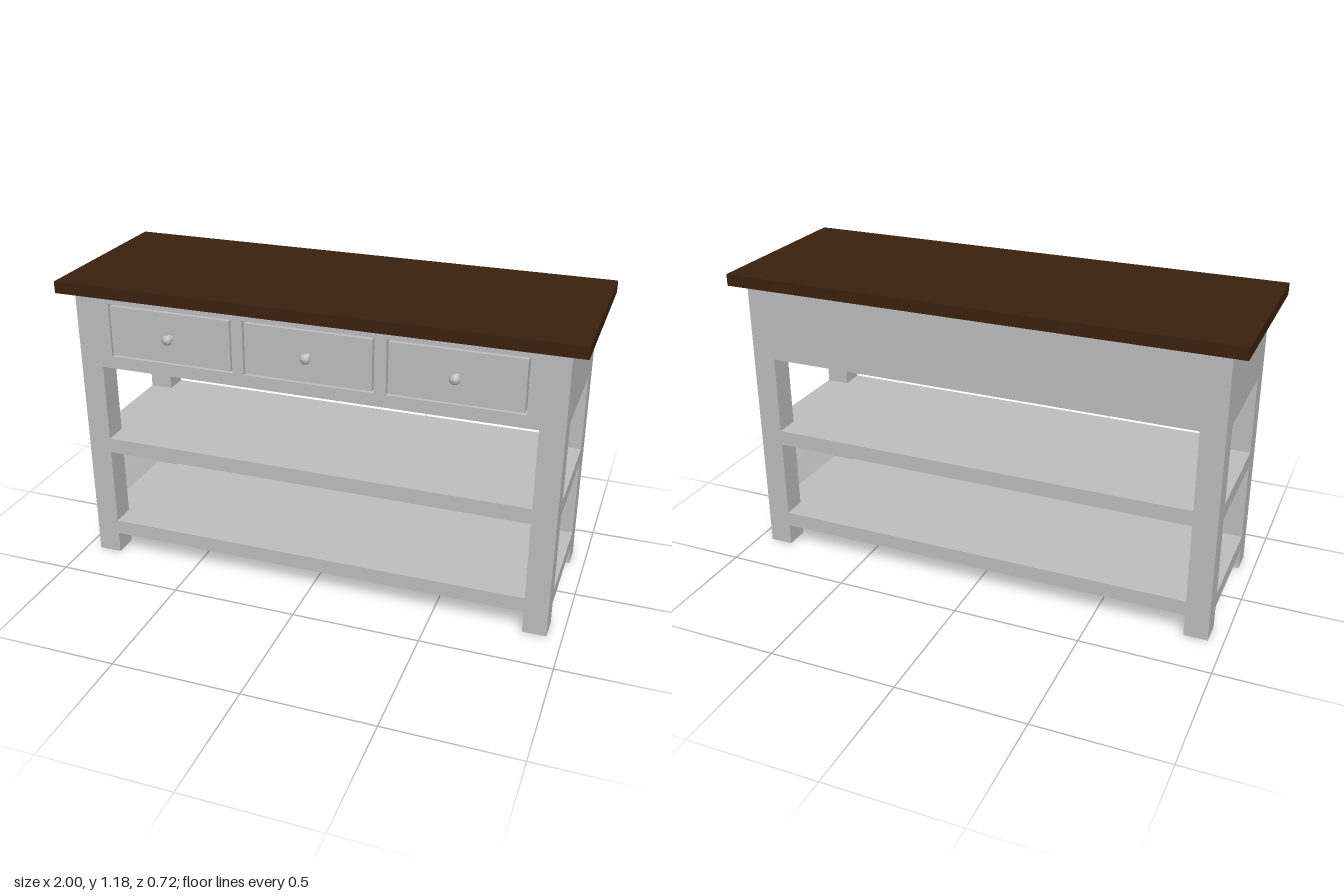
import * as THREE from 'three';

const LEG_X = [0.85, 0.942], LEG_Z = [0.22, 0.315];
const TOP_Y = 1.136, APRON_Y = 0.838;

export function createModel() {
  const root = new THREE.Group();
  root.name = 'consoleTable';

  const paint = new THREE.MeshStandardMaterial({ color: 0xbfbfbf });
  paint.name = 'grey paint';
  const wood = new THREE.MeshStandardMaterial({ color: 0x3b210e });
  wood.name = 'dark wood';

  const add = (name, geometry, material) => {
    const mesh = new THREE.Mesh(geometry, material);
    mesh.name = name;
    root.add(mesh);
    return mesh;
  };
  // Box given by its extents on each axis
  const box = (name, [x0, x1], [y0, y1], [z0, z1], material = paint) => {
    const mesh = add(name, new THREE.BoxGeometry(x1 - x0, y1 - y0, z1 - z0), material);
    mesh.position.set((x0 + x1) / 2, (y0 + y1) / 2, (z0 + z1) / 2);
    return mesh;
  };
  const rectangle = (Type, x0, x1, y0, y1) => new Type([
    [x0, y0], [x1, y0], [x1, y1], [x0, y1],
  ].map(([x, y]) => new THREE.Vector2(x, y)));

  // Table top
  box('tableTop', [-1, 1], [TOP_Y, 1.182], [-0.36, 0.36], wood);

  // Four square legs
  for (const sx of [-1, 1]) {
    for (const sz of [-1, 1]) {
      const leg = box((sz > 0 ? 'front' : 'back') + (sx > 0 ? 'Left' : 'Right') + 'Leg',
        LEG_X, [0, TOP_Y], LEG_Z);
      leg.position.x *= sx;
      leg.position.z *= sz;
    }
  }

  // Shelves, with corners notched around the legs
  const [xi, xo] = LEG_X, [zi, zo] = LEG_Z;
  const outline = new THREE.Shape([
    [xo, -zi], [xo, zi], [xi, zi], [xi, zo], [-xi, zo], [-xi, zi],
    [-xo, zi], [-xo, -zi], [-xi, -zi], [-xi, -zo], [xi, -zo], [xi, -zi],
  ].map(([x, y]) => new THREE.Vector2(x, y)));
  for (const [name, y0, y1] of [['lowerShelf', 0.088, 0.148], ['upperShelf', 0.466, 0.527]]) {
    const geometry = new THREE.ExtrudeGeometry(outline, { depth: y1 - y0, bevelEnabled: false });
    geometry.rotateX(-Math.PI / 2);
    add(name, geometry, paint).position.y = y0;
  }

  // Drawer case between the legs
  box('drawerCase', [-xo, xo], [APRON_Y, TOP_Y], [-zi, zi]);
  box('backPanel', [-xi, xi], [APRON_Y, TOP_Y], [-zo, -zi]);

  // Front panel with three drawer openings
  const centres = [-0.551, 0, 0.551];
  const halfWidth = 0.253, y0 = 0.888, y1 = 1.1, gap = 0.007;
  const front = rectangle(THREE.Shape, -xi, xi, APRON_Y, TOP_Y);
  for (const x of centres) {
    front.holes.push(rectangle(THREE.Path, x - halfWidth, x + halfWidth, y0, y1));
  }
  add('frontPanel', new THREE.ExtrudeGeometry(front, { depth: zo - zi, bevelEnabled: false }), paint)
    .position.z = zi;

  // Drawer fronts and turned knobs
  const knobProfile = [
    [0.013, 0], [0.013, 0.003], [0.009, 0.007], [0.008, 0.013], [0.011, 0.017],
    [0.018, 0.02], [0.02, 0.025], [0.018, 0.031], [0.012, 0.036], [0, 0.039],
  ].map(([r, h]) => new THREE.Vector2(r, h));
  const knob = new THREE.LatheGeometry(knobProfile, 24).rotateX(Math.PI / 2);
  for (const x of centres) {
    box('drawerFront', [x - halfWidth + gap, x + halfWidth - gap], [y0 + gap, y1 - gap], [zi, zo]);
    add('drawerKnob', knob, paint).position.set(x, 0.995, zo);
  }

  return root;
}
